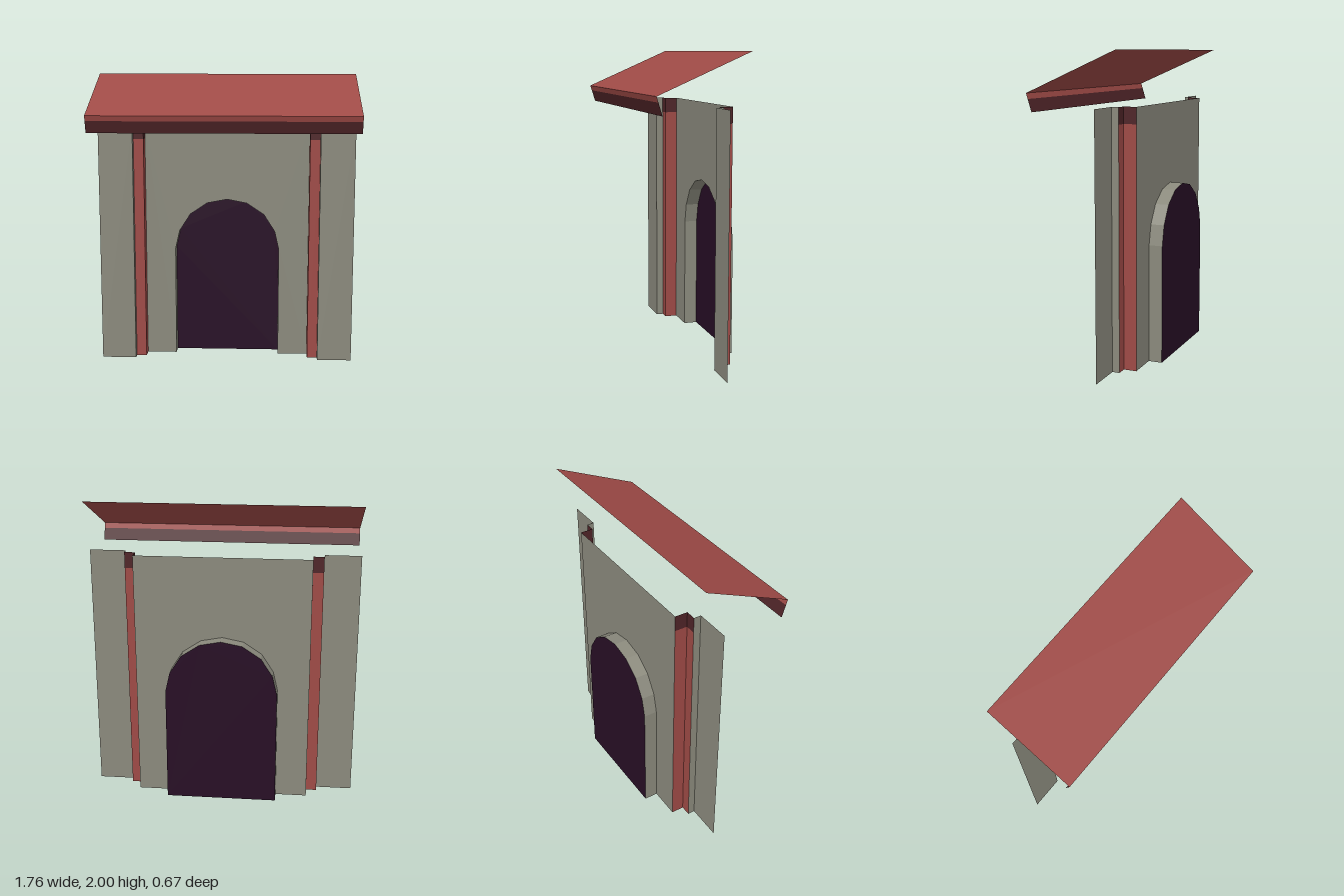
import * as THREE from 'three';

const paint = (name, color) => {
  const m = new THREE.MeshStandardMaterial({ color, side: THREE.DoubleSide, flatShading: true });
  m.name = name;
  return m;
};

// Thin sheet: a polyline of [x, y, z] points swept along one vector
function ribbon(points, sweep) {
  const s = new THREE.Vector3(...sweep);
  const p = points.map((q) => new THREE.Vector3(...q));
  const corners = [];
  for (let i = 0; i < p.length - 1; i++) {
    const a = p[i], b = p[i + 1];
    const c = b.clone().add(s), d = a.clone().add(s);
    corners.push(a, b, c, a, c, d);
  }
  const g = new THREE.BufferGeometry().setFromPoints(corners);
  g.computeVertexNormals();
  return g;
}

export function createModel() {
  const stone = paint('grey stone', 0x8a897c);
  const red = paint('red paint', 0x9e4a46);
  const maroon = paint('dark maroon', 0x4e2427);
  const dark = paint('dark purple', 0x270e25);

  const model = new THREE.Group();
  model.name = 'gateway';
  const add = (name, geometry, material) => {
    const mesh = new THREE.Mesh(geometry, material);
    mesh.name = name;
    model.add(mesh);
  };

  // Main dimensions
  const W = 0.882, H = 1.66, paintTop = 1.555;
  const postOut = 0.645, postIn = 0.575;
  const zPanel = -0.112, zPost = -0.16, zWall = -0.245, zDoor = -0.335;

  // Arched outline, from bottom left over the crown to bottom right
  const half = [[0.367, 0], [0.367, 0.77], [0.337, 0.9], [0.26, 1.02], [0.14, 1.1]];
  const arch = [
    ...half.map(([x, y]) => [-x, y]),
    [0, 1.127],
    ...half.slice().reverse(),
  ];

  // Recessed centre wall with the arched opening
  const wall = new THREE.Shape([
    [-postIn, 0], ...arch, [postIn, 0], [postIn, H], [-postIn, H],
  ].map(([x, y]) => new THREE.Vector2(x, y)));
  add('centreWall', new THREE.ShapeGeometry(wall).translate(0, 0, zWall), stone);

  // Arch lining and the dark doorway behind it
  add('archLining', ribbon(arch.map(([x, y]) => [x, y, zDoor]), [0, 0, zWall - zDoor]), stone);
  const door = new THREE.Shape(arch.map(([x, y]) => new THREE.Vector2(x, y)));
  add('doorway', new THREE.ShapeGeometry(door).translate(0, 0, zDoor), dark);

  // Stepped side panels and posts, mirrored
  for (const [side, s] of [['right', -1], ['left', 1]]) {
    const path = (pts, y) => {
      const q = pts.map(([x, z]) => [s * x, y, z]);
      return s < 0 ? q : q.reverse();
    };
    const panel = [[W, zPanel], [postOut, zPanel], [postOut, zPost]];
    const post = [[postOut, zPost], [postIn, zPost], [postIn, zWall]];
    add(side + 'Panel', ribbon(path(panel, 0), [0, H, 0]), stone);
    add(side + 'Post', ribbon(path(post, 0), [0, paintTop, 0]), red);
    add(side + 'PostTop', ribbon(path(post, paintTop), [0, H - paintTop, 0]), maroon);
  }

  // Sloping roof sheet with its inward-leaning front edge
  const across = [2 * W, 0, 0];
  add('roof', ribbon([[-W, 2, -0.25], [-W, 1.745, 0.335]], across), red);
  add('eaveTrim', ribbon([[-W, 1.745, 0.335], [-W, 1.71, 0.324]], across), red);
  add('eaveBoard', ribbon([[-W, 1.71, 0.324], [-W, 1.632, 0.3]], across), maroon);

  return model;
}
